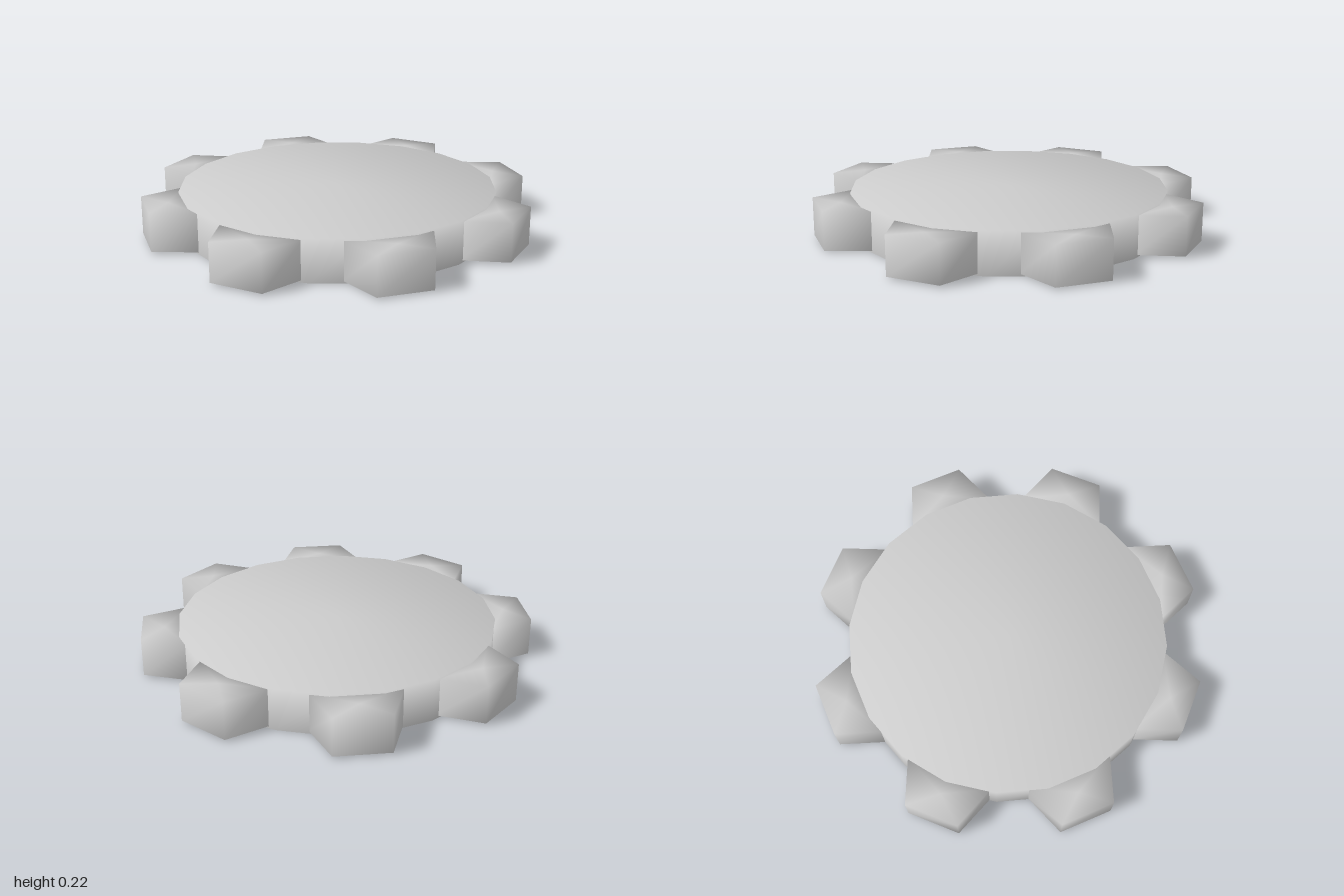
import * as THREE from 'three';

const RAD = Math.PI / 180;

// Smooth-shaded prism shell: walls plus top cap, open underneath.
// ring: [x, z] corners ordered from +x toward +z.
function openPrism(ring, y0, y1) {
  const n = ring.length;
  const pos = [];
  const index = [];
  let cx = 0, cz = 0;
  for (const [x, z] of ring) {
    pos.push(x, y0, z, x, y1, z);
    cx += x / n;
    cz += z / n;
  }
  pos.push(cx, y1, cz);
  for (let i = 0; i < n; i++) {
    const b = 2 * i, t = b + 1;
    const b2 = 2 * ((i + 1) % n), t2 = b2 + 1;
    index.push(b, t, b2, b2, t, t2, 2 * n, t2, t);
  }
  const geo = new THREE.BufferGeometry();
  geo.setAttribute('position', new THREE.Float32BufferAttribute(pos, 3));
  geo.setIndex(index);
  geo.computeVertexNormals();
  return geo;
}

export function createModel() {
  const group = new THREE.Group();
  group.name = 'gear';
  const material = new THREE.MeshStandardMaterial({ color: 0xcccccc, side: THREE.DoubleSide });

  // Round body: 20-sided shell
  const rim = Array.from({ length: 20 }, (_, i) => {
    const a = (i * 18 - 1.4) * RAD;
    return [0.83 * Math.cos(a), 0.83 * Math.sin(a)];
  });
  const body = new THREE.Mesh(openPrism(rim, 0, 0.22), material);
  body.name = 'gearBody';
  group.add(body);

  // Eight tapered teeth, their inner ends just inside the body wall
  const toothGeo = openPrism(
    [[1.012, -0.14], [1.012, 0.14], [0.78, 0.225], [0.78, -0.225]], 0.01, 0.21);
  for (let i = 0; i < 8; i++) {
    const tooth = new THREE.Mesh(toothGeo, material);
    tooth.name = 'tooth' + (i + 1);
    tooth.rotation.y = (19.4 - i * 45) * RAD;
    group.add(tooth);
  }
  return group;
}
